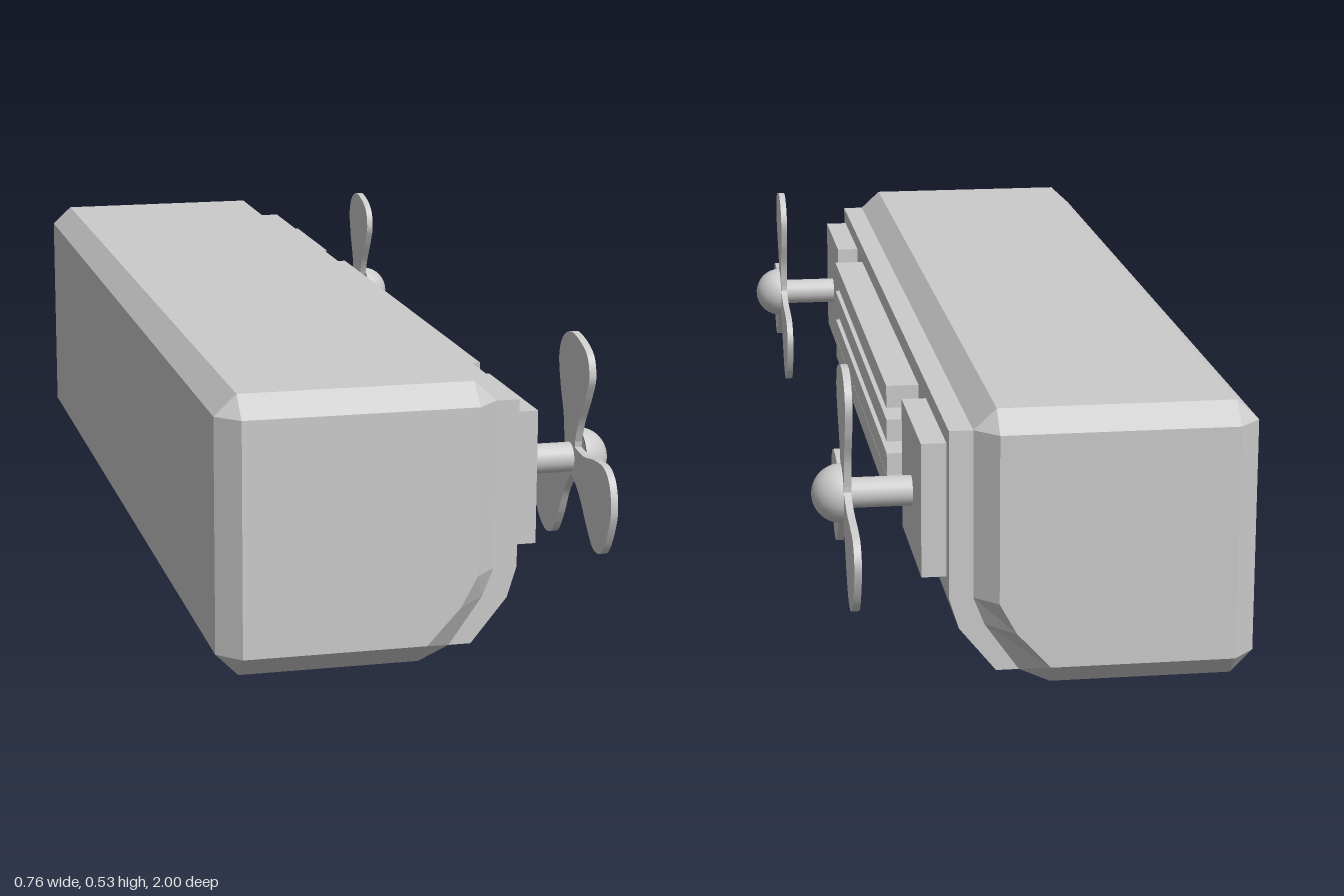
import * as THREE from 'three';

const material = new THREE.MeshStandardMaterial({ color: 0xcccccc });
const flat = new THREE.MeshStandardMaterial({ color: 0xcccccc, flatShading: true });

function add(parent, name, geometry, mat = material) {
  const mesh = new THREE.Mesh(geometry, mat);
  mesh.name = name;
  parent.add(mesh);
  return mesh;
}

// Box given by its limits on each axis
function slab(parent, name, [x0, x1], [y0, y1], [z0, z1]) {
  add(parent, name, new THREE.BoxGeometry(x1 - x0, y1 - y0, z1 - z0))
    .position.set((x0 + x1) / 2, (y0 + y1) / 2, (z0 + z1) / 2);
}

// Closed loft through matching cross-sections, each { pts, z }, ordered by rising z
function loft(rings) {
  const pos = [];
  const n = rings[0].pts.length;
  const at = (r, i) => [...rings[r].pts[i % n], rings[r].z];
  const same = (p, q) => p.every((v, k) => v === q[k]);
  const tri = (a, b, c) => {
    if (!same(a, b) && !same(b, c) && !same(c, a)) pos.push(...a, ...b, ...c);
  };
  for (let r = 0; r < rings.length - 1; r++) {
    for (let i = 0; i < n; i++) {
      const a = at(r, i), b = at(r, i + 1), c = at(r + 1, i + 1), d = at(r + 1, i);
      tri(a, b, c);
      tri(a, c, d);
    }
  }
  const last = rings.length - 1;
  for (let i = 1; i < n - 1; i++) {
    tri(at(0, 0), at(0, i + 1), at(0, i));
    tri(at(last, 0), at(last, i), at(last, i + 1));
  }
  const g = new THREE.BufferGeometry();
  g.setAttribute('position', new THREE.Float32BufferAttribute(pos, 3));
  g.computeVertexNormals();
  return g;
}

function makeFan() {
  const fan = new THREE.Group();
  fan.name = 'fan';

  const shaft = new THREE.CylinderGeometry(0.027, 0.027, 0.13, 24);
  shaft.rotateZ(-Math.PI / 2).translate(0.26, 0, 0);
  add(fan, 'shaft', shaft);

  // Domed hub cap with a flat back
  const dome = new THREE.SphereGeometry(0.053, 28, 12, 0, Math.PI * 2, 0, Math.PI / 2);
  dome.rotateZ(-Math.PI / 2).translate(0.325, 0, 0);
  add(fan, 'hub', dome);
  const back = new THREE.CircleGeometry(0.053, 28);
  back.rotateY(-Math.PI / 2).translate(0.324, 0, 0);
  add(fan, 'hubBack', back);

  // Rounded paddle blades
  const outline = [
    [-0.08, 0.13], [-0.096, 0.17], [-0.075, 0.21], [0, 0.23], [0.05, 0.212],
    [0.07, 0.175], [0.06, 0.125], [0.038, 0.07], [0.03, 0.02],
  ].map(p => new THREE.Vector2(...p));
  const shape = new THREE.Shape();
  shape.moveTo(0.03, 0);
  shape.lineTo(-0.025, 0);
  shape.lineTo(-0.028, 0.035);
  shape.splineThru([new THREE.Vector2(-0.045, 0.075), ...outline]);
  for (const turn of [0, 104, -129]) {
    const blade = new THREE.ExtrudeGeometry(shape, { depth: 0.013, bevelEnabled: false, curveSegments: 36 });
    blade.rotateZ(THREE.MathUtils.degToRad(turn)).rotateY(Math.PI / 2).translate(0.31, 0, 0);
    add(fan, 'blade', blade);
  }
  return fan;
}

export function createModel() {
  const model = new THREE.Group();
  model.name = 'fanUnit';

  // Long chamfered housing
  const outer = [
    [-0.38, 0.04], [-0.34, 0], [-0.02, 0], [0.035, 0.025], [0.095, 0.11],
    [0.115, 0.16], [0.115, 0.46], [0.075, 0.497], [-0.34, 0.497], [-0.38, 0.46],
  ];
  const inner = [
    [-0.34, 0.04], [-0.34, 0.04], [-0.015, 0.04], [-0.015, 0.04], [0.045, 0.105],
    [0.075, 0.16], [0.075, 0.46], [0.075, 0.46], [-0.34, 0.46], [-0.34, 0.46],
  ];
  add(model, 'housing', loft([
    { pts: inner, z: -1 }, { pts: outer, z: -0.96 },
    { pts: outer, z: 0.945 }, { pts: inner, z: 0.985 },
  ]), flat);

  // Side panel: short in the middle, wrapping under the housing at both ends
  slab(model, 'middlePanel', [0.1, 0.157], [0.163, 0.46], [-0.6, 0.595]);
  const wrap = new THREE.Shape([
    [0.1, 0.46], [0.1, 0.16], [0.08, 0.11], [0.03, 0.025],
    [0.075, 0.025], [0.14, 0.105], [0.157, 0.16], [0.157, 0.46],
  ].map(p => new THREE.Vector2(...p)));
  for (const [z0, z1] of [[-0.96, -0.6], [0.595, 0.945]]) {
    const g = new THREE.ExtrudeGeometry(wrap, { depth: z1 - z0, bevelEnabled: false });
    add(model, 'endPanel', g.translate(0, 0, z0), flat);
  }

  // Horizontal grille slats
  for (const y of [0.21, 0.253, 0.318, 0.383]) {
    slab(model, 'slat', [0.15, 0.217], [y, y + 0.042], [-0.53, 0.515]);
  }

  // Motor mounts and fans
  for (const z of [-0.785, 0.77]) {
    slab(model, 'motorMount', [0.15, 0.201], [0.19, 0.43], [z - 0.144, z + 0.144]);
    const fan = makeFan();
    fan.position.set(0, 0.303, z);
    model.add(fan);
  }
  return model;
}
